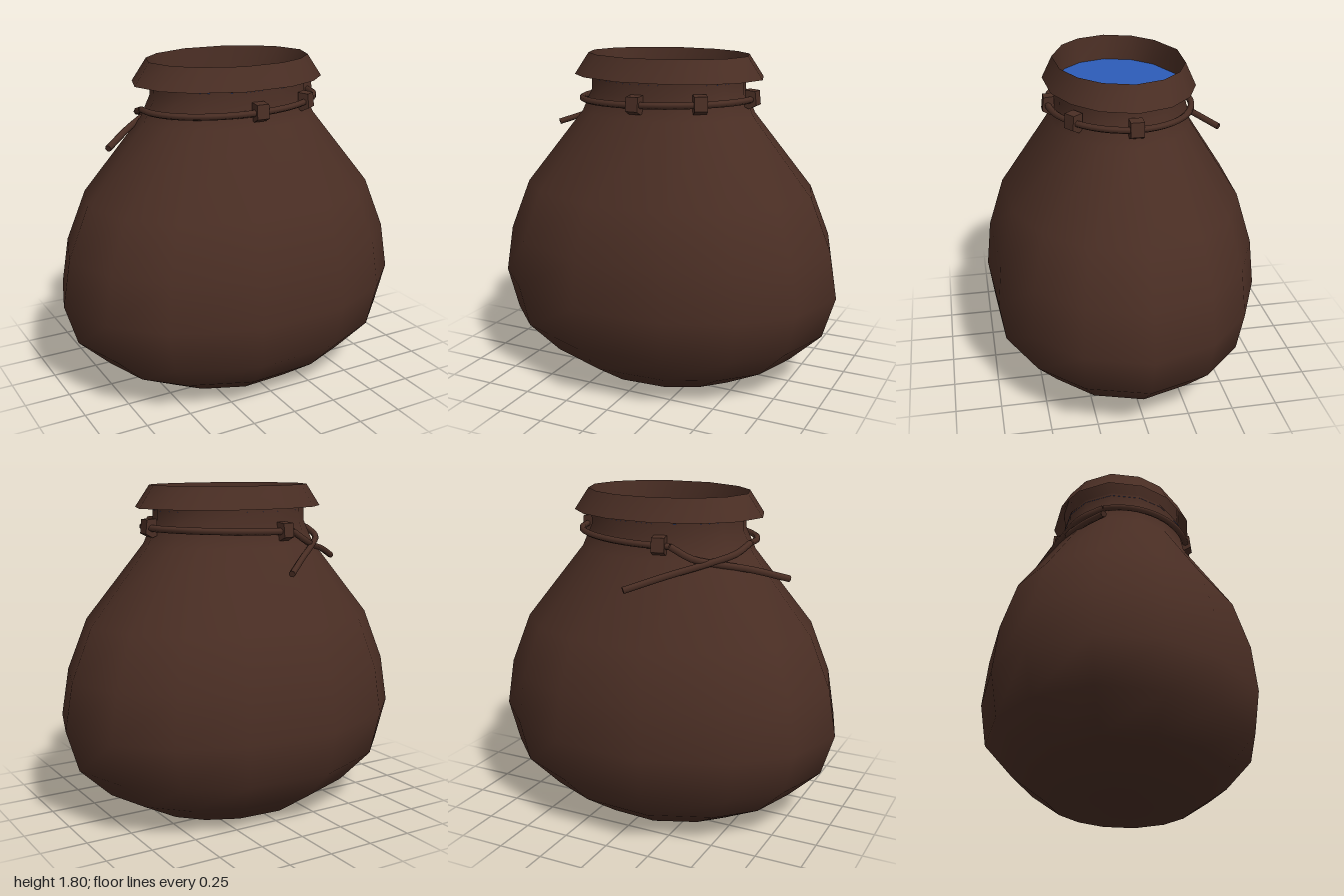
import * as THREE from 'three';

// Faceted oval outline shared by every level of the pouch (unit radius)
const HALF = [[1, 0], [0.89, 0.45], [0.65, 0.76], [0.31, 0.96], [-0.2, 1], [-0.65, 0.76], [-0.89, 0.45], [-1, 0]];
const OVAL = [...HALF, ...HALF.slice(1, -1).reverse().map(([x, z]) => [x, -z])];

// Skin between oval levels given as [y, x radius, z radius]; capBottom closes the first level
function ovalSkin(levels, capBottom = false) {
  const n = OVAL.length, pos = [], index = [];
  for (const [y, rx, rz] of levels)
    for (const [x, z] of OVAL) pos.push(x * rx, y, z * rz);
  for (let j = 0; j < levels.length - 1; j++)
    for (let i = 0; i < n; i++) {
      const a = j * n + i, b = j * n + (i + 1) % n;
      index.push(a, a + n, b, b, a + n, b + n);
    }
  if (capBottom) {
    const c = pos.length / 3;
    pos.push(0, levels[0][0], 0);
    for (let i = 0; i < n; i++) index.push(c, i, (i + 1) % n);
  }
  const g = new THREE.BufferGeometry();
  g.setAttribute('position', new THREE.Float32BufferAttribute(pos, 3));
  g.setIndex(index);
  g.computeVertexNormals();
  return g;
}

export function createModel() {
  const root = new THREE.Group();
  const leather = new THREE.MeshStandardMaterial({ color: 0x4a2e24, side: THREE.DoubleSide });
  leather.name = 'brown leather';
  const blue = new THREE.MeshStandardMaterial({ color: 0x2d5cb8, side: THREE.DoubleSide });
  blue.name = 'blue contents';

  const add = (name, geometry, material = leather, parent = root) => {
    const m = new THREE.Mesh(geometry, material);
    m.name = name;
    parent.add(m);
    return m;
  };

  // Sagging bag with a narrow neck
  add('body', ovalSkin([
    [0, 0.5, 0.39], [0.13, 0.75, 0.57], [0.3, 0.93, 0.72], [0.53, 1, 0.752],
    [0.79, 0.955, 0.725], [1.07, 0.84, 0.64], [1.48, 0.505, 0.375],
    [1.6, 0.445, 0.35], [1.68, 0.445, 0.345],
  ], true));

  // Folded-over collar: flared outside, straight inside
  add('collar', ovalSkin([[1.68, 0.55, 0.4], [1.8, 0.465, 0.345]]));
  add('collarLining', ovalSkin([[1.8, 0.465, 0.345], [1.66, 0.44, 0.335]]));

  // Flat surface filling the mouth
  const fill = new THREE.ShapeGeometry(new THREE.Shape(OVAL.map(([x, z]) => new THREE.Vector2(x * 0.447, -z * 0.347))));
  fill.rotateX(-Math.PI / 2).translate(0, 1.665, 0);
  add('contents', fill, blue);

  // Cord around the neck, slightly higher on the +x side
  const cordPoint = (t) => new THREE.Vector3(0.5 * Math.cos(t), 1.563 + 0.015 * Math.cos(t), 0.385 * Math.sin(t));
  const tube = (points, segments) =>
    new THREE.TubeGeometry(new THREE.CatmullRomCurve3(points), segments, 0.018, 6);
  const start = -1.95, end = Math.PI + 0.1;
  const ring = [];
  for (let i = 0; i <= 24; i++) ring.push(cordPoint(start + (end - start) * i / 24));
  add('cord', tube(ring, 48));

  // Two loose ends crossing at the back
  const v = (x, y, z) => new THREE.Vector3(x, y, z);
  const tails = [
    [cordPoint(end), v(-0.47, 1.51, -0.17), v(-0.36, 1.47, -0.29), v(-0.2, 1.42, -0.43), v(-0.03, 1.36, -0.58)],
    [cordPoint(start), v(-0.29, 1.5, -0.33), v(-0.38, 1.47, -0.26), v(-0.54, 1.43, -0.135), v(-0.71, 1.37, 0)],
  ];
  tails.forEach((points, i) => {
    add('cordTail' + (i + 1), tube(points, 16));
    const cap = add('cordTailEnd' + (i + 1), new THREE.CircleGeometry(0.018, 6));
    const tip = points[4];
    cap.position.copy(tip);
    cap.lookAt(tip.clone().multiplyScalar(2).sub(points[3]));
  });

  // Small straps holding the cord to the neck
  const profile = new THREE.Shape([[-0.035, 0.05], [0.022, 0.045], [0.03, -0.03], [-0.01, -0.05], [-0.035, -0.04]]
    .map(([x, y]) => new THREE.Vector2(x, y)));
  const strap = new THREE.ExtrudeGeometry(profile, { depth: 0.07, bevelEnabled: false });
  strap.translate(0, 0, -0.035).rotateY(-Math.PI / 2);
  [0, 0.87, 1.6, -1.83].forEach((t, i) => {
    const m = add('strap' + (i + 1), strap);
    m.position.copy(cordPoint(t));
    m.rotation.y = Math.atan2(Math.cos(t) / 0.5, Math.sin(t) / 0.385);
  });

  return root;
}
